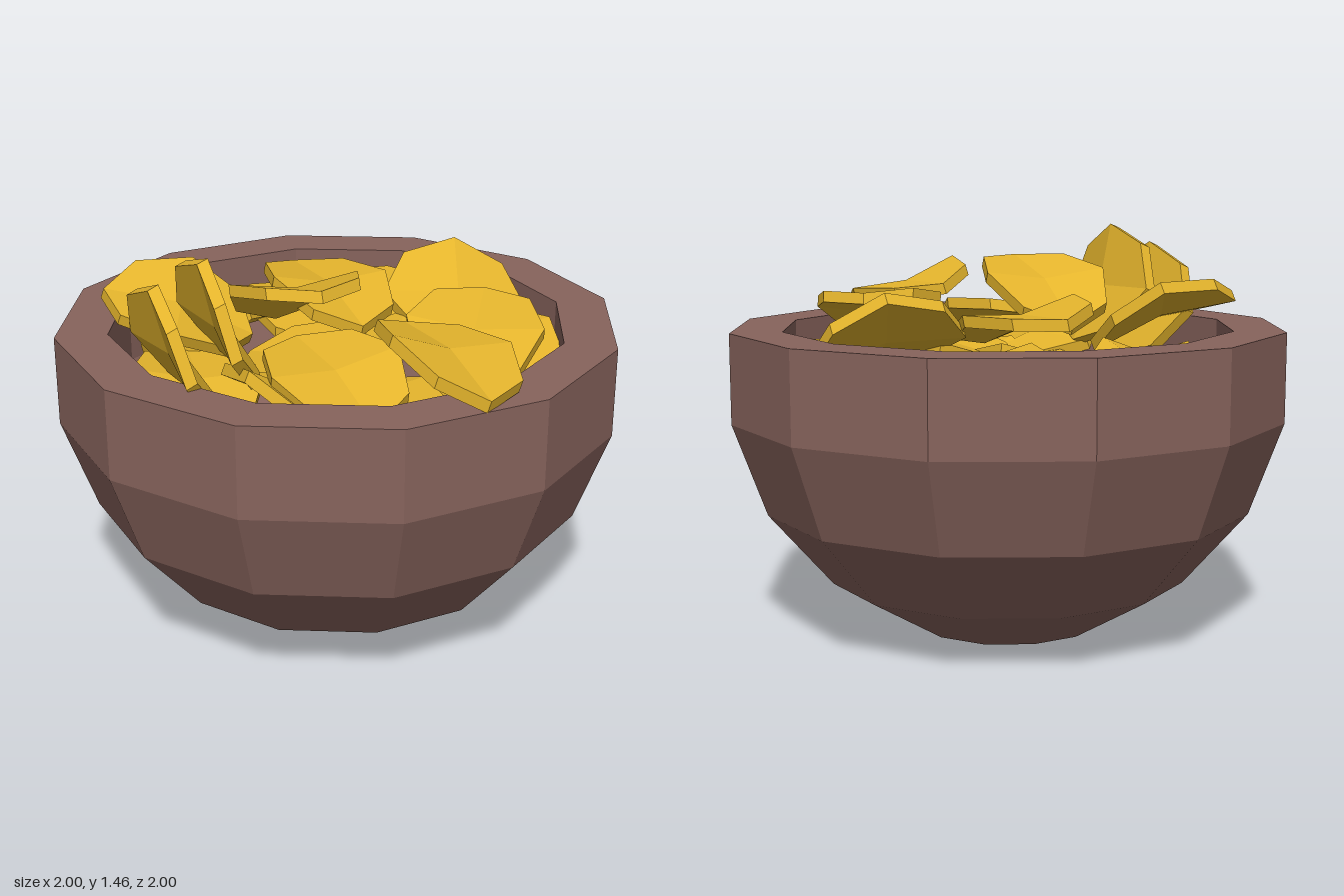
import * as THREE from 'three';

const clay = new THREE.MeshStandardMaterial({ color: 0x87635c, flatShading: true });
clay.name = 'brown clay';
const gold = new THREE.MeshStandardMaterial({ color: 0xe4b42c, flatShading: true });
gold.name = 'golden crisp';

// Twelve-sided bowl: outer wall, thick rim, and an inner wall that is the outer one scaled down
function makeBowl() {
  const outer = [[0.34, 0.015], [0.65, 0.195], [0.88, 0.46], [1, 0.79], [1, 1.11]];
  const t = 0.815;
  const inner = outer.map(([r, y]) => [r * t, 1.11 - (1.11 - y) * t]).reverse();
  const profile = [[0, 0], ...outer, ...inner, [0, inner[4][1]]];
  const geometry = new THREE.LatheGeometry(profile.map(([r, y]) => new THREE.Vector2(r, y)), 12);
  const bowl = new THREE.Mesh(geometry, clay);
  bowl.name = 'bowl';
  return bowl;
}

// Eight-sided crisp, slightly longer than wide, folded into four flat quarters
function makeCrispGeometry() {
  const g = new THREE.CylinderGeometry(1, 1, 0.042, 8);
  const p = g.attributes.position;
  for (let i = 0; i < p.count; i++) {
    const x = p.getX(i) * 0.235, z = p.getZ(i) * 0.275;
    p.setXYZ(i, x, p.getY(i) + 0.15 * (Math.abs(x) - Math.abs(z)), z);
  }
  const flat = g.toNonIndexed();
  flat.computeVertexNormals();
  return flat;
}

// Each crisp: position, direction its top faces, spin about that direction
const crisps = [
  // top layer
  [[-0.17, 1.25, 0.11], [-0.05, 0.9, -0.4], 0.15],
  [[0.22, 1.21, 0.67], [0.27, 0.95, 0.08], 0.3],
  [[0.01, 1.15, -0.22], [0.15, 0.95, 0.12], 0.3],
  [[0.4, 1.15, 0.36], [-0.1, 0.92, 0.34], -0.4],
  [[0.49, 1.1, -0.18], [0.13, 0.8, 0.5], 1.5],
  [[-0.55, 1.16, -0.09], [0.25, 0.9, 0.34], 1.35],
  // crisps standing on edge
  [[-0.46, 1.22, 0.27], [0.9, 0.38, -0.16], 0.25],
  [[-0.62, 1.15, 0.3], [0.88, 0.4, -0.2], 0.25],
  // middle layer
  [[-0.12, 1.11, 0.53], [0.03, 0.93, 0.24], 0.3],
  [[0.54, 1.04, 0.13], [0.1, 0.95, 0.1], 0.3],
  [[-0.42, 0.96, -0.39], [-0.2, 0.85, -0.18], 2.3],
  [[-0.03, 0.98, -0.5], [0.05, 0.95, 0.1], 0.1],
  [[0.24, 1.02, -0.45], [0.1, 0.95, 0.14], 0.3],
  [[0.2, 1.03, 0.09], [-0.1, 0.95, -0.1], 1.2],
  // lower layer
  [[0.42, 0.95, -0.3], [-0.1, 0.95, 0.15], 0.6],
  [[0.06, 0.93, 0.33], [0.1, 0.95, -0.15], 0.5],
  [[-0.24, 1.02, 0.46], [0.35, 0.85, -0.1], 0.5],
  [[-0.52, 0.94, 0.1], [0.1, 0.95, 0.15], 0],
  [[0.45, 0.92, 0.33], [-0.2, 0.95, -0.1], 0.4],
  [[-0.1, 0.97, 0.04], [-0.1, 0.95, 0.1], 0.8],
];

export function createModel() {
  const model = new THREE.Group();
  model.name = 'bowlOfCrisps';
  model.add(makeBowl());

  const pile = new THREE.Group();
  pile.name = 'crispPile';
  const geometry = makeCrispGeometry();
  const up = new THREE.Vector3(0, 1, 0);
  crisps.forEach(([position, facing, spin], i) => {
    const crisp = new THREE.Mesh(geometry, gold);
    crisp.name = `crisp${i + 1}`;
    crisp.position.set(...position);
    crisp.quaternion.setFromUnitVectors(up, new THREE.Vector3(...facing).normalize());
    crisp.rotateY(spin);
    pile.add(crisp);
  });
  model.add(pile);
  return model;
}
